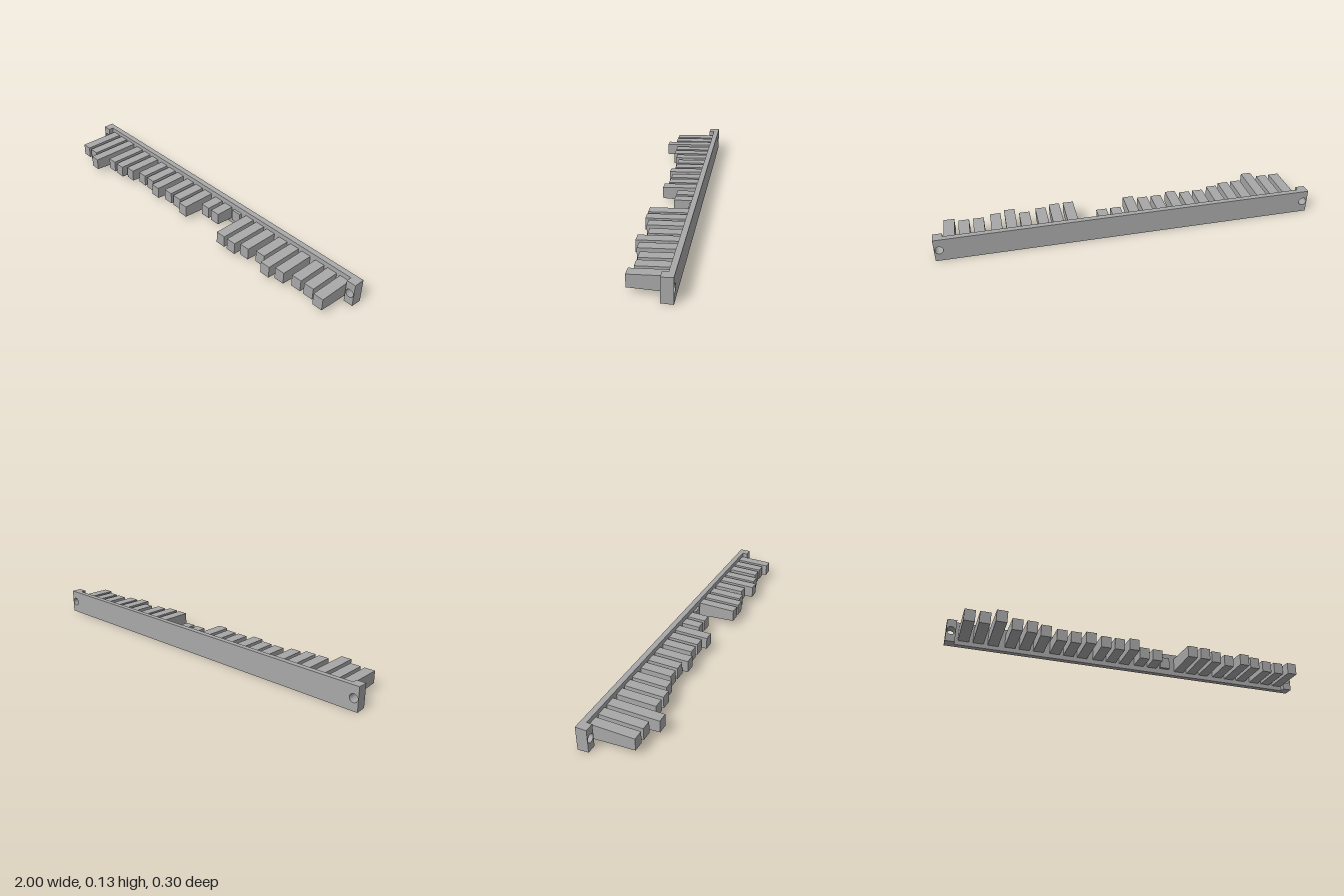
import * as THREE from 'three';

const BACK = -0.149, PLATE = -0.12, LUG = -0.092; // depth levels of the rail
const MID = 0.0635, HALF = 0.0635;                // rail centre height and half height
const DRAFT = Math.tan(THREE.MathUtils.degToRad(2.2));

// Narrow the top and bottom edges by the draft angle towards the front
function draftRail(geo) {
  const p = geo.attributes.position;
  for (let i = 0; i < p.count; i++) {
    const y = p.getY(i) - MID;
    if (Math.abs(y) > 0.04) p.setY(i, MID + Math.sign(y) * (HALF - (p.getZ(i) - BACK) * DRAFT));
  }
  geo.computeVertexNormals();
  return geo;
}

// Rectangular length of rail, optionally with a screw hole
function railPiece(x0, x1, front, holeX) {
  const s = new THREE.Shape();
  s.moveTo(x0, MID - HALF);
  s.lineTo(x1, MID - HALF);
  s.lineTo(x1, MID + HALF);
  s.lineTo(x0, MID + HALF);
  s.closePath();
  if (holeX !== undefined) {
    const h = new THREE.Path();
    h.absarc(holeX, MID, 0.0215, 0, Math.PI * 2, true);
    s.holes.push(h);
  }
  const geo = new THREE.ExtrudeGeometry(s, { depth: front - BACK, bevelEnabled: false, curveSegments: 16 });
  geo.translate(0, 0, BACK);
  return draftRail(geo);
}

// Bar with a constant tip height that thickens towards the rail
function barGeometry(tipZ) {
  const length = tipZ - PLATE, tip = 0.0315;
  const geo = new THREE.BoxGeometry(0.055, 2 * tip, length);
  geo.translate(0, 0, length / 2);
  const p = geo.attributes.position;
  for (let i = 0; i < p.count; i++) {
    p.setY(i, Math.sign(p.getY(i)) * (tip + (length - p.getZ(i)) * DRAFT * 0.93));
  }
  geo.computeVertexNormals();
  return geo;
}

export function createModel() {
  const model = new THREE.Group();
  const grey = new THREE.MeshStandardMaterial({ color: 0xa8a8a8 });
  grey.name = 'grey plastic';
  const add = (name, geo) => {
    const m = new THREE.Mesh(geo, grey);
    m.name = name;
    model.add(m);
    return m;
  };

  // Rail with a thicker drilled lug at each end
  add('rail', railPiece(-0.951, 0.951, PLATE));
  add('leftLug', railPiece(0.951, 1, LUG, 0.9755));
  add('rightLug', railPiece(-1, -0.951, LUG, -0.9755));

  // Bars in groups of three; each number is a length step from the shortest tip
  const steps = [10, 10, 12, 9, 9, 8, 7, 7, 8, 7, 7, 8, 4, 4, 0, 9, 9, 8, 7, 9, 8, 7, 7, 8];
  const bars = new THREE.Group();
  bars.name = 'bars';
  steps.forEach((n, i) => {
    const bar = new THREE.Mesh(barGeometry(-0.106 + n * 0.02125), grey);
    bar.name = 'bar' + (i + 1);
    bar.position.set(-0.907 + Math.floor(i / 3) * 0.2393 + (i % 3) * 0.0755, 0.064, PLATE);
    bars.add(bar);
  });
  model.add(bars);
  return model;
}
